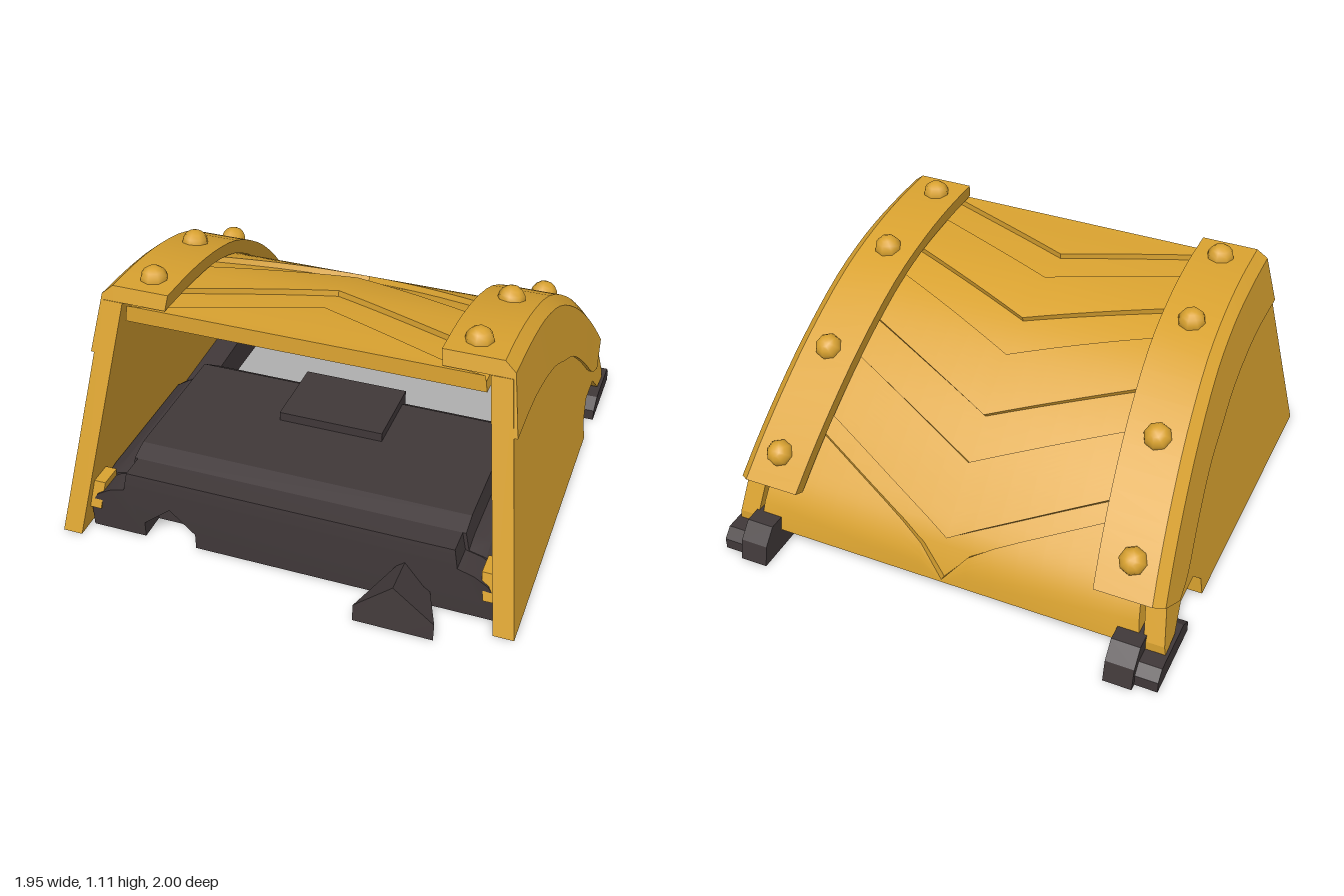
import * as THREE from 'three';
import { toCreasedNormals } from 'three/addons/utils/BufferGeometryUtils.js';

const yellow = new THREE.MeshStandardMaterial({ color: 0xd9a230 });
yellow.name = 'yellow paint';
const dark = new THREE.MeshStandardMaterial({ color: 0x403839 });
dark.name = 'dark metal';

const SLANT = 0.14; // everything on the sides leans inward with height
const lean = (off, y) => off - SLANT * y;

// Turn faces outward (by signed volume), then smooth with sharp edges kept
function finish(geo, crease = 0.5) {
  const g = geo.index ? geo.toNonIndexed() : geo;
  const p = g.attributes.position;
  const v = [0, 1, 2].map(() => new THREE.Vector3());
  let vol = 0;
  for (let i = 0; i < p.count; i += 3) {
    v.forEach((q, k) => q.fromBufferAttribute(p, i + k));
    vol += v[0].dot(v[1].clone().cross(v[2]));
  }
  if (vol < 0) {
    for (let i = 0; i < p.count; i += 3) {
      v.forEach((q, k) => q.fromBufferAttribute(p, i + k));
      p.setXYZ(i + 1, v[2].x, v[2].y, v[2].z);
      p.setXYZ(i + 2, v[1].x, v[1].y, v[1].z);
    }
  }
  g.computeVertexNormals();
  return toCreasedNormals(g, crease);
}

// Closed solid through sections; each section is an outer row and an inner row of equal length
function loft(sections, crease) {
  const rings = sections.map(([outer, inner]) => [...outer, ...[...inner].reverse()]);
  const n = rings[0].length, last = rings.length - 1, idx = [];
  const quad = (a, b, c, d) => idx.push(a, b, c, a, c, d);
  for (let s = 0; s < last; s++)
    for (let i = 0; i < n; i++) {
      const j = (i + 1) % n;
      quad(s * n + i, s * n + j, (s + 1) * n + j, (s + 1) * n + i);
    }
  for (let i = 0; i < n / 2 - 1; i++) {
    quad(n - 1 - i, n - 2 - i, i + 1, i);
    const o = last * n;
    quad(o + i, o + i + 1, o + n - 2 - i, o + n - 1 - i);
  }
  const g = new THREE.BufferGeometry();
  g.setAttribute('position', new THREE.Float32BufferAttribute(rings.flat(2), 3));
  g.setIndex(idx);
  return finish(g, crease);
}

// Side profile of [z, y] points, thick from x = x0 to x1, leaning inward; side is +1 or -1
function sidePlate(points, x0, x1, side, slant = SLANT) {
  const shape = new THREE.Shape(points.map(([z, y]) => new THREE.Vector2(-z, y)));
  const g = new THREE.ExtrudeGeometry(shape, { depth: x1 - x0, bevelEnabled: false });
  g.rotateY(Math.PI / 2);
  const p = g.attributes.position;
  for (let i = 0; i < p.count; i++) p.setX(i, side * (p.getX(i) + x0 - slant * p.getY(i)));
  return finish(g, 0.3);
}

const spline = (pts) => new THREE.CatmullRomCurve3(pts.map(([z, y]) => new THREE.Vector3(0, y, z)));

// Centre line of the roof's outer face, as [z, y]
const roofPts = [[0.61, 0.99], [0.37, 0.98], [0.13, 0.95], [-0.1, 0.875], [-0.34, 0.73],
  [-0.54, 0.565], [-0.7, 0.4], [-0.8, 0.28], [-0.845, 0.19], [-0.865, 0.09]];
const roofCurve = spline(roofPts);

// Point on the roof at a given z, sunk by depth along the normal
function roofPoint(z, depth) {
  let a = 0, b = 1;
  for (let i = 0; i < 24; i++) {
    const m = (a + b) / 2;
    if (roofCurve.getPoint(m).z > z) a = m; else b = m;
  }
  const p = roofCurve.getPoint(a), t = roofCurve.getTangent(a);
  return [p.y + t.z * depth, p.z - t.y * depth];
}

// Roof panel between two z limits, which may vary with |x|
function roofPanel(zFront, zBack, top, bottom, steps) {
  const sections = [];
  for (let s = 0; s <= steps; s++) {
    const rows = [top, bottom].map((depth) => {
      const row = [];
      for (let i = -8; i <= 8; i++) {
        const a = Math.abs(i / 8) * 0.78;
        const z = THREE.MathUtils.lerp(zFront(a), zBack(a), s / steps);
        const [y, zz] = roofPoint(z, depth);
        row.push([(i / 8) * lean(0.87, y), y, zz]);
      }
      return row;
    });
    sections.push(rows);
  }
  return loft(sections, 0.35);
}

// Corner band: top line and skirt line, paired
const bandTop = spline([[0.59, 1.06], [0.37, 1.052], [0.15, 1.02], [-0.1, 0.945], [-0.38, 0.785],
  [-0.6, 0.61], [-0.76, 0.455], [-0.87, 0.33]]);
const bandSkirt = spline([[0.67, 0.78], [0.37, 0.78], [0.07, 0.72], [-0.09, 0.65], [-0.26, 0.57],
  [-0.45, 0.42], [-0.6, 0.28], [-0.7, 0.235]]);

function band(side) {
  const sections = [];
  for (let i = 0; i <= 21; i++) {
    const t = bandTop.getPoint(i / 21), b = bandSkirt.getPoint(i / 21);
    const d = b.clone().sub(t).normalize();
    const at = (off, depth) => {
      const q = t.clone().addScaledVector(d, depth);
      return [side * lean(off, q.y), q.y, q.z];
    };
    const skirt = (off) => [side * lean(off, b.y), b.y, b.z];
    sections.push([
      [at(0.705, 0), at(0.945, 0), at(0.985, 0.04), skirt(0.99)],
      [at(0.705, 0.065), at(0.93, 0.065), at(0.96, 0.08), skirt(0.968)],
    ]);
  }
  return loft(sections, 0.6);
}

export function createModel() {
  const model = new THREE.Group();
  const add = (name, geo, mat) => {
    const m = new THREE.Mesh(geo, mat);
    m.name = name;
    model.add(m);
    return m;
  };

  // Roof: a base sheet with raised panels, leaving sunken chevron grooves between them
  const clampZ = (z) => THREE.MathUtils.clamp(z, -0.864, 0.609);
  const chevron = (z0) => (a) => clampZ(z0 + 0.37 * a);
  add('roofSheet', roofPanel(() => 0.609, () => -0.864, 0.025, 0.07, 32), yellow);
  const edges = [[2, 0.34], [0.17, -0.06], [-0.22, -0.44], [-0.59, -0.8], [-0.862, -2]];
  edges.forEach(([f, b], i) =>
    add('roofPanel' + (i + 1), roofPanel(chevron(f), chevron(b), 0, 0.03, 12), yellow));

  // Side walls with a rear foot arch, corner bands, bolts, rear feet
  const wall = [[0.9, 0], ...roofPts.slice(0, 8).map(([z, y]) => [z, y + 0.008]), [-0.86, 0.13],
    [-0.86, 0.09], [-0.75, 0.1], [-0.66, 0.19], [-0.51, 0.19], [-0.43, 0.11], [-0.43, 0.03]];
  const arm = [[-0.1, 0], [-0.1, 0.13], [-0.5, 0.155], [-0.92, 0.155], [-0.98, 0.09], [-1, 0]];
  const foot = [[-0.62, 0], [-0.62, 0.05], [-0.68, 0.09], [-0.93, 0.09], [-0.97, 0.05], [-0.97, 0]];
  const bolts = [[0.48, 0.67], [0.06, 0.69], [-0.41, 0.73], [-0.77, 0.78]];
  const up = new THREE.Vector3(0, 1, 0);
  for (const side of [1, -1]) {
    const tag = side > 0 ? 'left' : 'right';
    add(tag + 'Wall', sidePlate(wall, 0.89, 0.975, side), yellow);
    add(tag + 'Band', band(side), yellow);
    add(tag + 'Arm', sidePlate(arm, 0.76, 0.88, side, 0), dark);
    add(tag + 'Foot', sidePlate(foot, 0.86, 0.975, side, 0), dark);
    add(tag + 'Guide', sidePlate([[0.83, 0.1], [0.8, 0.22], [0.7, 0.22], [0.7, 0.1]], 0.84, 0.91, side), yellow);
    bolts.forEach(([z, x], i) => {
      let u = 0;
      while (u < 1 && bandTop.getPoint(u).z > z) u += 0.002;
      const p = bandTop.getPoint(u), t = bandTop.getTangent(u);
      const bolt = add(tag + 'Bolt' + (i + 1),
        new THREE.SphereGeometry(0.058, 8, 4, 0, Math.PI * 2, 0, Math.PI / 2), yellow);
      bolt.position.set(side * x, p.y - 0.004, p.z);
      bolt.quaternion.setFromUnitVectors(up, new THREE.Vector3(0, -t.z, t.y));
    });
  }

  // Floor block, stepped at the sides and falling away to the rear
  const half = [[0.89, 0.12], [0.86, 0.18], [0.8, 0.22], [0.73, 0.24], [0.715, 0.33]];
  const outline = [...half.map(([x, y]) => [-x, y]), ...[...half].reverse()];
  const floor = [[0.7, 0.92], [0.62, 1], [0, 1], [-0.14, 0.7], [-0.22, 0.35]].map(([z, k]) => [
    outline.map(([x, y]) => [x, y * k, z]), outline.map(([x]) => [x, 0, z])]);
  add('floor', loft(floor, 0.3), dark);
  add('floorHump', new THREE.BoxGeometry(0.46, 0.08, 0.33), dark).position.set(0, 0.33, 0.12);

  // Front sill with a notch on the right
  const notch = [[-0.4, 0], [-0.4, 0.07], [-0.51, 0.17], [-0.63, 0.07], [-0.63, 0]];
  const sillShape = new THREE.Shape([[-0.87, 0], ...outline.map(([x, y]) => [x * 0.98, y * 0.92]),
    [0.87, 0], ...notch].map(([x, y]) => new THREE.Vector2(x, y)));
  const sill = new THREE.ExtrudeGeometry(sillShape, { depth: 0.12, bevelEnabled: false });
  const p = sill.attributes.position;
  for (let i = 0; i < p.count; i++) p.setZ(i, 0.7 + p.getZ(i) * (1 - Math.max(0, p.getY(i) - 0.2)));
  add('frontSill', finish(sill, 0.3), dark);

  // Wedge-shaped tooth on the left of the sill
  const tooth = [[1, 0.165], [0.8, 0.085]].map(([z, w]) => [
    [[0.515 - w, 0.07, z - 0.01], [0.505, 0.19, z - 0.03], [0.515 + w, 0.07, z - 0.01]],
    [[0.515 - w, 0, z], [0.505, 0, z], [0.515 + w, 0, z]]]);
  add('frontTooth', loft(tooth, 0.2), dark);

  return model;
}
